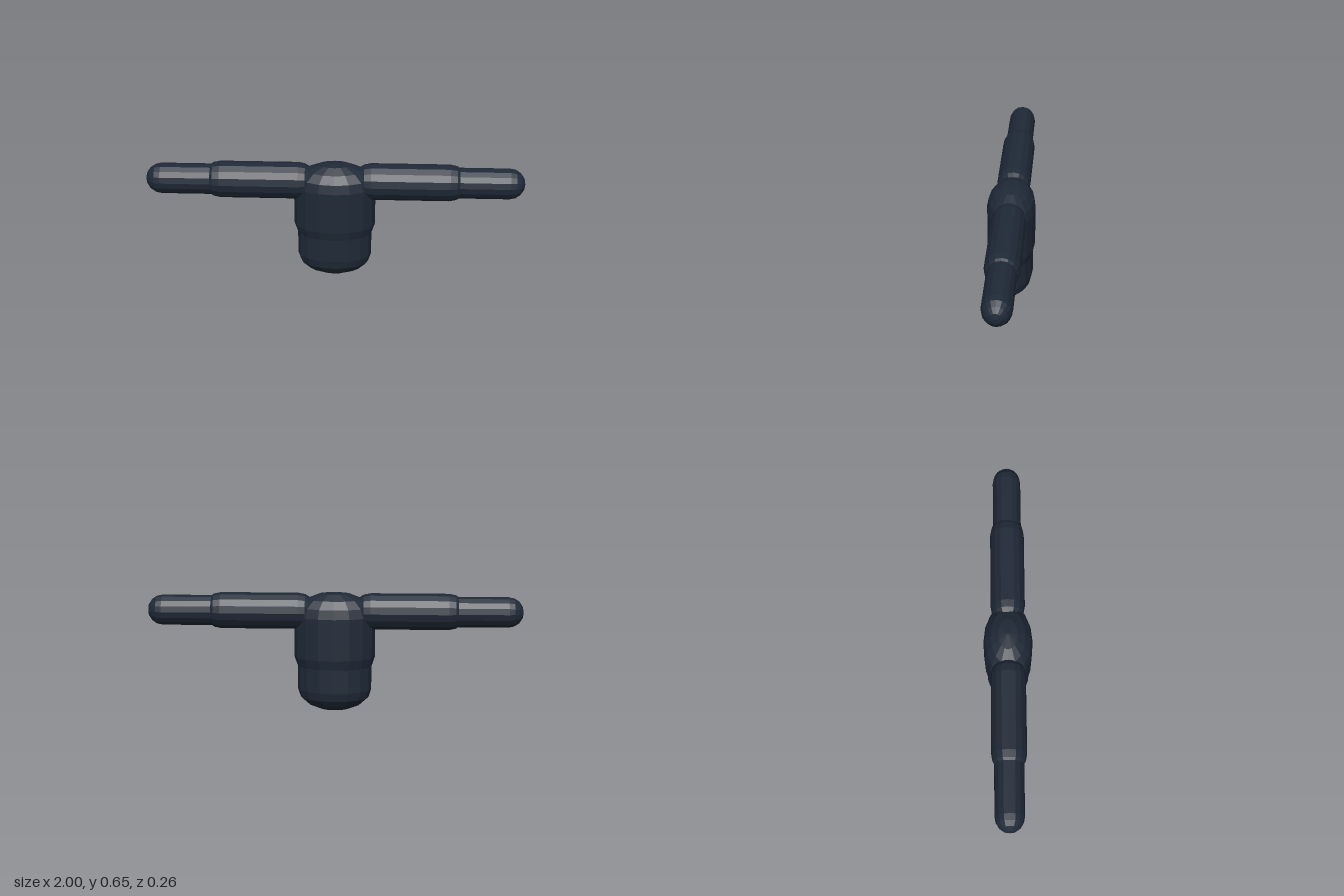
import * as THREE from 'three';

const navy = new THREE.MeshStandardMaterial({ color: 0x1f2937, flatShading: true });
navy.name = 'dark navy';

// Upright capsule: cap radius r, straight part of the given length, widened in x and z
function capsule(name, r, length, sx, sz) {
  const geometry = new THREE.CapsuleGeometry(r, length, 4, 16, 1);
  geometry.scale(sx / r, 1, sz / r);
  const mesh = new THREE.Mesh(geometry, navy);
  mesh.name = name;
  return mesh;
}

// Capsule lying along x, its straight part running from x0 to x1
function limb(name, side, r, depth, x0, x1) {
  const mesh = capsule(name, r, x1 - x0, r, depth);
  mesh.rotation.z = -side * Math.PI / 2;
  mesh.position.set(side * (x0 + x1) / 2, 0.547, 0);
  return mesh;
}

export function createModel() {
  const model = new THREE.Group();
  model.name = 'upperBody';

  // Flattened chest over a slightly narrower pelvis
  const chest = capsule('chest', 0.128, 0.223, 0.216, 0.128);
  chest.position.y = 0.4115;
  const pelvis = capsule('pelvis', 0.118, 0.14, 0.198, 0.118);
  pelvis.position.y = 0.19;
  model.add(chest, pelvis);

  // Arms held straight out to both sides
  for (const [label, side] of [['left', 1], ['right', -1]]) {
    const arm = new THREE.Group();
    arm.name = label + 'Arm';
    arm.add(
      limb(label + 'UpperArm', side, 0.098, 0.09, 0.192, 0.604),
      limb(label + 'Forearm', side, 0.082, 0.075, 0.6, 0.918)
    );
    model.add(arm);
  }
  return model;
}
